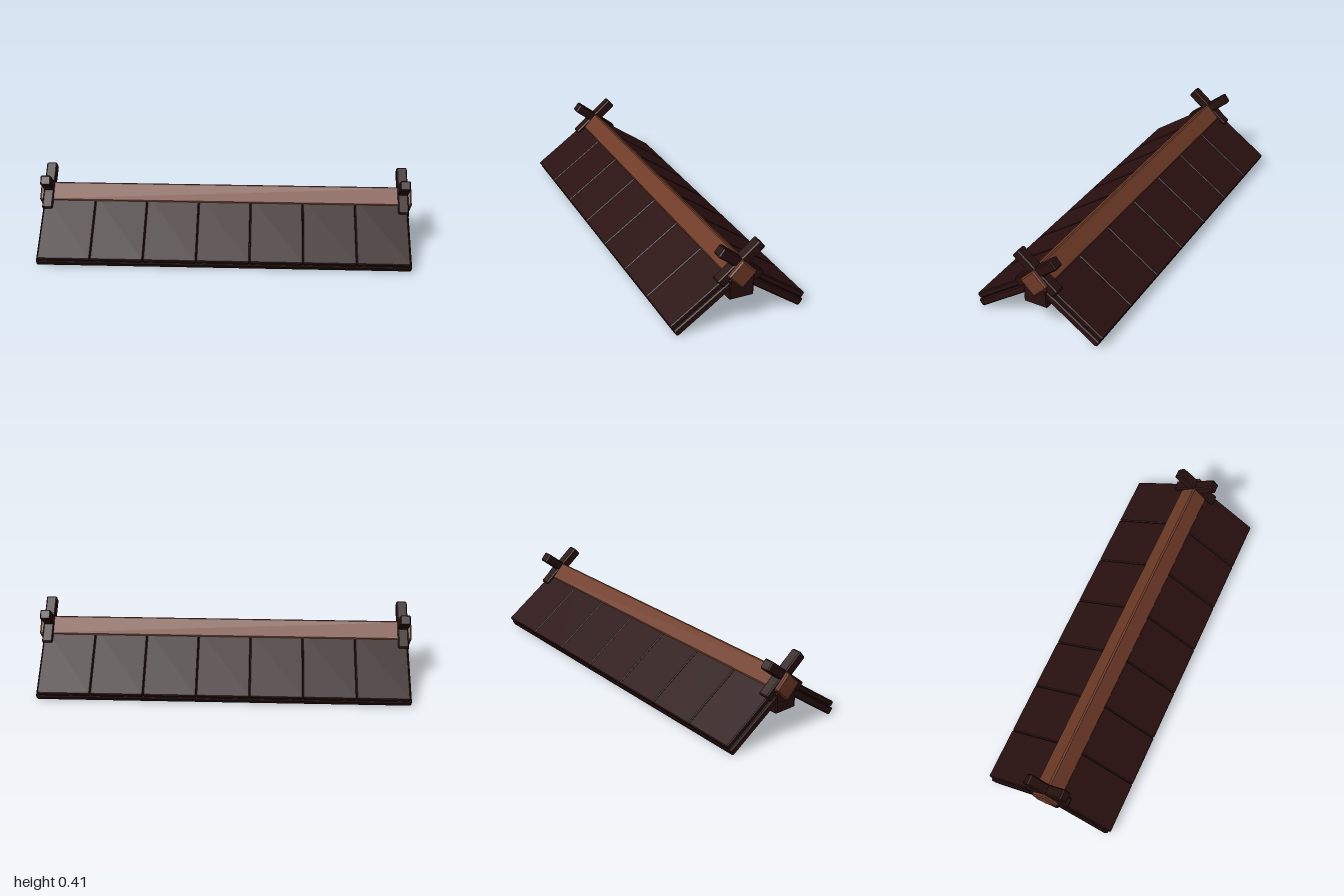
import * as THREE from 'three';
import { ConvexGeometry } from 'three/addons/geometries/ConvexGeometry.js';

// Box with cut edges and corners, flat faces
function chamferBox(w, h, d, c) {
  const pts = [];
  for (const sx of [-1, 1]) for (const sy of [-1, 1]) for (const sz of [-1, 1]) {
    const x = sx * w / 2, y = sy * h / 2, z = sz * d / 2;
    pts.push(new THREE.Vector3(x, y - sy * c, z - sz * c));
    pts.push(new THREE.Vector3(x - sx * c, y, z - sz * c));
    pts.push(new THREE.Vector3(x - sx * c, y - sy * c, z));
  }
  return new ConvexGeometry(pts);
}

export function createModel() {
  const roof = new THREE.Group();
  roof.name = 'roof';
  const darkWood = new THREE.MeshStandardMaterial({ color: 0x2a1010 });
  darkWood.name = 'darkWood';
  const ridgeWood = new THREE.MeshStandardMaterial({ color: 0x6f3b27 });
  ridgeWood.name = 'ridgeWood';

  const add = (parent, name, geometry, material, x, y, z) => {
    const mesh = new THREE.Mesh(geometry, material);
    mesh.name = name;
    mesh.position.set(x, y, z);
    parent.add(mesh);
    return mesh;
  };

  // Two slopes: a base panel covered by seven boards
  const pitch = THREE.MathUtils.degToRad(35);
  const count = 7, step = 1.95 / count, top = 0.05;
  const boardGeo = chamferBox(step - 0.001, 0.03, 0.44 - top, 0.005);
  const panelGeo = chamferBox(1.97, 0.039, 0.444 - top, 0.006);
  for (const side of [1, -1]) {
    const pivot = new THREE.Group();
    pivot.name = side > 0 ? 'frontSlope' : 'backSlope';
    pivot.rotation.y = side > 0 ? 0 : Math.PI;
    const slope = new THREE.Group();
    slope.name = 'slopePanel';
    slope.position.y = 0.3115;
    slope.rotation.x = pitch;
    pivot.add(slope);
    add(slope, 'basePanel', panelGeo, darkWood, 0, -0.0495, (top + 0.444) / 2);
    for (let i = 0; i < count; i++) {
      add(slope, 'roofBoard', boardGeo, darkWood, (i - (count - 1) / 2) * step, -0.015, (top + 0.44) / 2);
    }
    roof.add(pivot);
  }

  // Ridge pole turned on its edge, and the beam beneath it
  const ridge = add(roof, 'ridgePole', chamferBox(2, 0.107, 0.107, 0.007), ridgeWood, 0, 0.2645, 0);
  ridge.rotation.x = Math.PI / 4;
  add(roof, 'ridgeBeam', chamferBox(1.98, 0.11, 0.13, 0.006), darkWood, 0, 0.19, 0);

  // Crossed finials at both ends
  const tilt = THREE.MathUtils.degToRad(39);
  const finialGeo = chamferBox(0.056, 0.053, 0.275, 0.006);
  for (const x of [-0.953, 0.953]) {
    for (const side of [1, -1]) {
      const plank = add(roof, 'crossedFinial', finialGeo, darkWood, x, 0.309, 0);
      plank.rotation.x = side * tilt;
    }
  }
  return roof;
}
